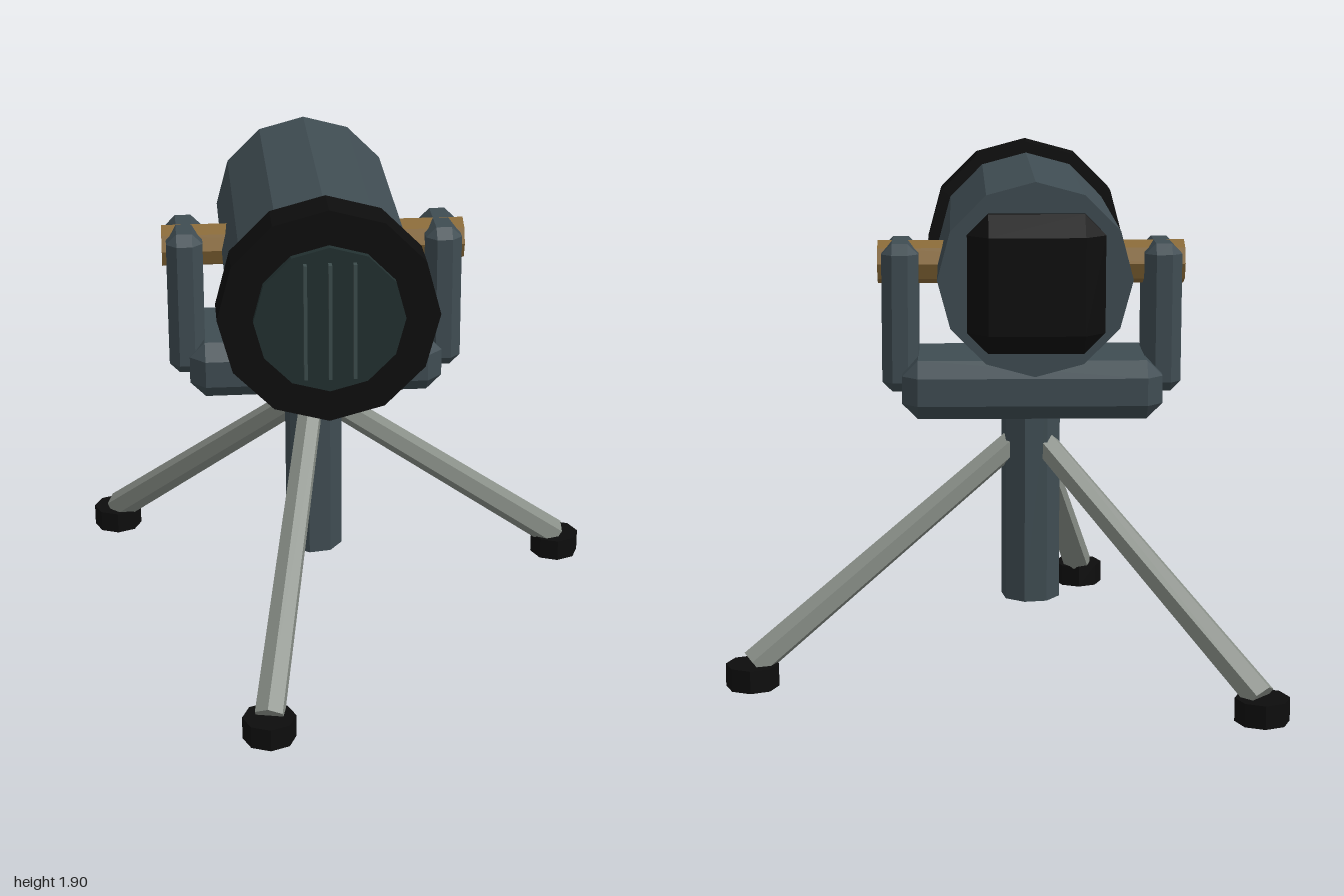
import * as THREE from 'three';
import { ConvexGeometry } from 'three/addons/geometries/ConvexGeometry.js';

const mat = (name, color) => {
  const m = new THREE.MeshStandardMaterial({ color, flatShading: true });
  m.name = name;
  return m;
};

// Box with every edge cut flat by c
function chamferBox(w, h, d, c) {
  const half = [w / 2, h / 2, d / 2];
  const points = [];
  for (const sx of [-1, 1]) for (const sy of [-1, 1]) for (const sz of [-1, 1])
    for (let full = 0; full < 3; full++) {
      const p = half.map((v, i) => (i === full ? v : v - c));
      points.push(new THREE.Vector3(p[0] * sx, p[1] * sy, p[2] * sz));
    }
  return new ConvexGeometry(points);
}

export function createModel() {
  const model = new THREE.Group();
  model.name = 'tripodSpotlight';
  const slate = mat('slateMetal', 0x3f4c52);
  const black = mat('blackRubber', 0x0d0d0d);
  const steel = mat('legSteel', 0x898f88);
  const brass = mat('brass', 0x896a38);
  const glass = mat('darkGlass', 0x223030);
  const rib = mat('lensRib', 0x3c4c4c);

  const add = (name, geometry, material, x, y, z, parent = model) => {
    const mesh = new THREE.Mesh(geometry, material);
    mesh.name = name;
    mesh.position.set(x, y, z);
    parent.add(mesh);
    return mesh;
  };

  const cx = -0.12, mastZ = -0.16, axisY = 1.513, pivotZ = -0.132;
  const turn = -12.8 * Math.PI / 180;

  // Mast
  add('mast', new THREE.CylinderGeometry(0.11, 0.11, 0.78, 8), slate, cx, 0.64, mastZ)
    .rotation.y = turn;

  // Three splayed legs with feet
  const up = new THREE.Vector3(0, 1, 0);
  for (let i = 0; i < 3; i++) {
    const a = turn + i * Math.PI * 2 / 3;
    const at = (r, y) => new THREE.Vector3(cx + r * Math.sin(a), y, mastZ + r * Math.cos(a));
    const top = at(0.05, 0.86), bottom = at(1.065, 0.082);
    const mid = top.clone().add(bottom).multiplyScalar(0.5);
    const dir = top.clone().sub(bottom);
    const leg = add('leg', new THREE.CylinderGeometry(0.048, 0.058, dir.length(), 6), steel, mid.x, mid.y, mid.z);
    // swing about the mast first, then tilt, so all legs share one orientation
    leg.quaternion.setFromUnitVectors(up, dir.normalize())
      .multiply(new THREE.Quaternion().setFromAxisAngle(up, a));
    const f = at(1.072, 0.0425);
    add('foot', new THREE.CylinderGeometry(0.097, 0.097, 0.085, 8), black, f.x, f.y, f.z);
  }

  // Yoke: crossbar and two uprights
  add('yokeBase', chamferBox(0.945, 0.215, 0.48, 0.057), slate, cx, 1.0725, mastZ);
  for (const side of [-1, 1])
    add('yokeArm', chamferBox(0.134, 0.545, 0.302, 0.038), slate, cx + side * 0.48, 1.32, pivotZ);

  // Pivot pin through the yoke
  add('pivotPin', new THREE.CylinderGeometry(0.08, 0.08, 1.126, 8), brass, cx, axisY, pivotZ)
    .rotation.z = Math.PI / 2;

  // Lamp barrel, front rim and lens, lying along z with a corner on top
  const tube = (name, r, z0, z1, material) => {
    const g = new THREE.CylinderGeometry(r, r, z1 - z0, 12);
    g.rotateX(Math.PI / 2);
    return add(name, g, material, cx, axisY, (z0 + z1) / 2);
  };
  tube('barrel', 0.342, -0.613, 0.6, slate);
  tube('frontRim', 0.385, 0.496, 0.66, black);
  tube('lens', 0.262, 0.66, 0.687, glass);

  // Vertical ribs on the lens
  for (const i of [-1, 0, 1])
    add('lensRib', new THREE.BoxGeometry(0.012, 0.415, 0.028), rib, cx + i * 0.085, axisY, 0.7);

  // Rear cap
  add('rearCap', chamferBox(0.477, 0.484, 0.17, 0.073), black, cx, axisY, -0.698);

  return model;
}
